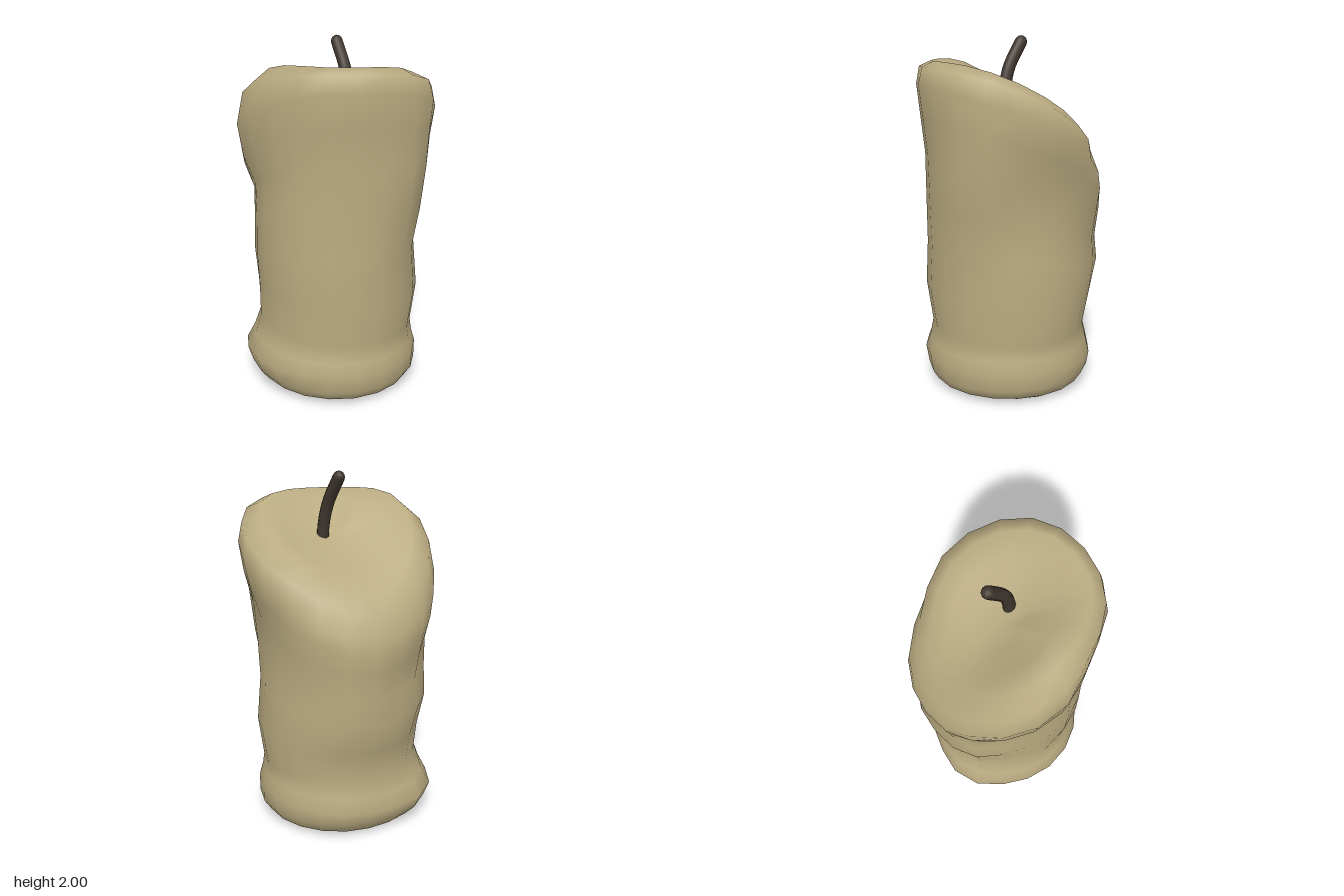
import * as THREE from 'three';

const SEGMENTS = 20;

// Each ring: heights then radii, both in the order front, +x side, back, -x side
const RINGS = [
  [0.02, 0.005, 0.00, 0.03, 0.40, 0.38, 0.37, 0.40],
  [0.04, 0.04, 0.03, 0.05, 0.455, 0.44, 0.42, 0.45],
  [0.09, 0.10, 0.09, 0.11, 0.485, 0.48, 0.46, 0.50],
  [0.19, 0.20, 0.16, 0.20, 0.50, 0.48, 0.48, 0.53],
  [0.26, 0.27, 0.25, 0.29, 0.475, 0.46, 0.46, 0.485],
  [0.36, 0.34, 0.36, 0.40, 0.457, 0.45, 0.43, 0.45],
  [0.60, 0.56, 0.52, 0.60, 0.49, 0.48, 0.46, 0.45],
  [0.85, 0.82, 0.70, 0.80, 0.475, 0.455, 0.515, 0.46],
  [1.10, 1.02, 0.84, 1.02, 0.48, 0.45, 0.505, 0.455],
  [1.37, 1.22, 1.00, 1.20, 0.485, 0.46, 0.52, 0.457],
  [1.58, 1.40, 1.10, 1.36, 0.51, 0.52, 0.522, 0.52],
  [1.75, 1.54, 1.18, 1.54, 0.53, 0.55, 0.51, 0.55],
  [1.84, 1.65, 1.29, 1.71, 0.505, 0.53, 0.47, 0.515],
  [1.868, 1.70, 1.39, 1.79, 0.44, 0.43, 0.395, 0.41],
  [1.81, 1.66, 1.47, 1.73, 0.31, 0.30, 0.29, 0.29],
  [1.70, 1.62, 1.54, 1.65, 0.15, 0.15, 0.15, 0.14],
];

// Soft bulges and dents: angle from the front, height, amount
const BUMPS = [
  [-2.36, 0.16, 0.05], [-2.3, 0.70, 0.03], [-2.3, 0.98, 0.03],
  [-2.75, 0.88, -0.035], [2.87, 0.72, 0.015], [2.87, 1.02, 0.012],
  [2.36, 0.80, -0.015], [2.36, 1.38, -0.035],
  [-0.785, 0.73, 0.02], [-0.785, 1.45, -0.02], [-0.785, 1.70, -0.055],
  [0.785, 1.10, 0.05], [0.785, 1.35, 0.07], [0.785, 1.66, 0.02],
];

// Blend four radii placed a quarter turn apart
function radiusAt(values, a) {
  const q = Math.floor(a / (Math.PI / 2)) % 4;
  const w = Math.sin(a - q * Math.PI / 2) ** 2;
  return values[q] * (1 - w) + values[(q + 1) % 4] * w;
}

// Curved slope through the four heights
function heightAt([front, right, back, left], a) {
  const c = Math.cos(a);
  const side = (right + left) / 2 + (right - left) / 2 * Math.sin(a);
  return side + (front - back) / 2 * c + ((front + back) / 2 - side) * c * c;
}

function bump(a, y) {
  return BUMPS.reduce((sum, [ba, by, amount]) => {
    const d = Math.atan2(Math.sin(a - ba), Math.cos(a - ba));
    return sum + amount * Math.exp(-((d / 0.42) ** 2) - ((y - by) / 0.16) ** 2);
  }, 0);
}

// Melted wax shell: open underneath, with a sloping dished top
function waxGeometry() {
  const position = [], index = [];
  RINGS.forEach((ring, i) => {
    for (let j = 0; j < SEGMENTS; j++) {
      const a = (j / SEGMENTS) * Math.PI * 2;
      const y = heightAt(ring.slice(0, 4), a);
      const r = radiusAt(ring.slice(4), a) + bump(a, y);
      position.push(r * Math.sin(a), y, r * Math.cos(a));
      if (i === 0) continue;
      const k = (j + 1) % SEGMENTS, lo = (i - 1) * SEGMENTS, hi = i * SEGMENTS;
      index.push(lo + j, lo + k, hi + k, lo + j, hi + k, hi + j);
    }
  });
  // Centre of the dished top
  const centre = RINGS.length * SEGMENTS, last = centre - SEGMENTS;
  position.push(0, 1.61, 0);
  for (let j = 0; j < SEGMENTS; j++) index.push(last + j, last + (j + 1) % SEGMENTS, centre);

  const geometry = new THREE.BufferGeometry();
  geometry.setAttribute('position', new THREE.Float32BufferAttribute(position, 3));
  geometry.setIndex(index);
  geometry.computeVertexNormals();
  return geometry;
}

export function createModel() {
  const group = new THREE.Group();
  group.name = 'candle';
  const wax = new THREE.MeshStandardMaterial({ color: 0xbaab81, side: THREE.DoubleSide });
  wax.name = 'wax';
  const char = new THREE.MeshStandardMaterial({ color: 0x40372f });
  char.name = 'charred wick';

  const body = new THREE.Mesh(waxGeometry(), wax);
  body.name = 'waxBody';

  // Bent wick with a rounded tip
  const tip = new THREE.Vector3(0.025, 1.967, -0.058);
  const path = new THREE.CatmullRomCurve3([
    new THREE.Vector3(0.07, 1.56, 0.068),
    new THREE.Vector3(0.065, 1.71, 0.058),
    new THREE.Vector3(0.05, 1.83, 0.026),
    tip,
  ]);
  const wick = new THREE.Mesh(new THREE.TubeGeometry(path, 12, 0.034, 10), char);
  wick.name = 'wick';
  const wickTip = new THREE.Mesh(new THREE.SphereGeometry(0.033, 10, 8), char);
  wickTip.name = 'wickTip';
  wickTip.position.copy(tip);

  group.add(body, wick, wickTip);
  return group;
}
